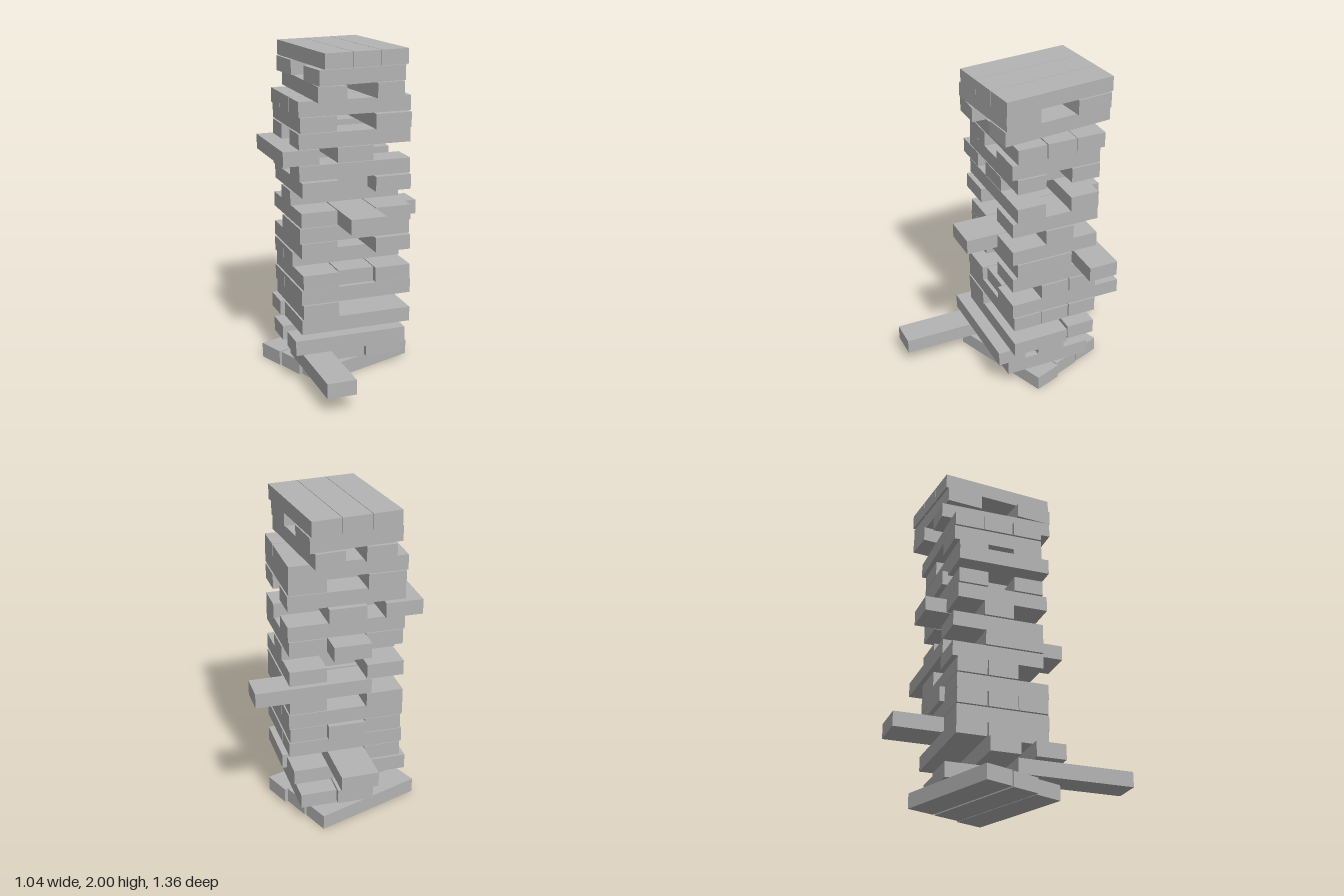
import * as THREE from 'three';

const LAYERS = 21;
const H = 0.092;                      // block height
const PITCH = (2 - H) / (LAYERS - 1); // layer spacing

// Block footprints [x size, z size]
const ALONG_X = [0.704, 0.18];
const ALONG_Z = [0.225, 0.556];
const SLIM_Z = [0.178, 0.704];
const WIDE_X = [0.557, 0.224];

// Usual positions in the middle of the tower
const XC = -0.035;                    // centre of crosswise blocks
const COLS = [-0.265, -0.033, 0.198]; // columns of lengthwise blocks
const ZC = -0.098, ZB = -0.127;       // lengthwise centre, and pushed slightly back

// Crosswise rows at the given z centres
const rows = (...zs) => zs.map((z) => [ALONG_X, XC, z]);
// Lengthwise columns with a z centre each; null leaves a gap
const cols = (...zs) => zs.map((z, i) => (z === null ? null : [ALONG_Z, COLS[i], z])).filter(Boolean);

// Each block: [footprint, x, z, turn]
const layers = [
  // twisted base
  [[ALONG_X, -0.005, 0.063, 0.355], [ALONG_X, -0.088, -0.104, 0.355], [ALONG_X, -0.161, -0.285, 0.355]],
  // one block pulled far out to the front
  [[SLIM_Z, -0.316, 0.33], [ALONG_Z, -0.098, -0.108], [ALONG_Z, 0.134, -0.094]],
  [[ALONG_X, -0.1, 0.159], [ALONG_X, -0.1, -0.112]],
  [[ALONG_X, XC, 0.081], [ALONG_X, XC, -0.099], [ALONG_X, -0.059, -0.297]],
  cols(ZC, -0.399, null),
  rows(0.083, -0.1, -0.287),
  cols(ZC, ZB, ZC),
  rows(-0.1, -0.287),
  cols(ZB, null, ZC),
  [...rows(0.06, -0.117), [ALONG_X, 0.17, -0.314]],
  cols(ZB, 0.096, ZC),
  rows(-0.125),
  cols(ZC, -0.228, ZC),
  rows(0.061, -0.285),
  [[ALONG_Z, -0.373, ZB], [ALONG_Z, COLS[1], ZB]],
  rows(0.059, -0.285),
  cols(ZB, null, ZC),
  rows(0.058, -0.129, -0.312),
  // loosely turned top
  [[SLIM_Z, -0.208, -0.11], [SLIM_Z, 0.133, -0.142, 0.1]],
  [[WIDE_X, -0.024, 0.11, 0.1], [WIDE_X, -0.05, -0.352, 0.1]],
  [-1, 0, 1].map((k) => [SLIM_Z, -0.025 + k * 0.18, -0.125 - k * 0.018, 0.1]),
];

export function createModel() {
  const model = new THREE.Group();
  model.name = 'blockTower';
  const grey = new THREE.MeshStandardMaterial({ color: 0xb4b4b4 });
  grey.name = 'blockGrey';

  layers.forEach((blocks, i) => {
    const layer = new THREE.Group();
    layer.name = `layer${i + 1}`;
    layer.position.y = H / 2 + i * PITCH;
    blocks.forEach(([[w, d], x, z, turn = 0], j) => {
      const block = new THREE.Mesh(new THREE.BoxGeometry(w, H, d), grey);
      block.name = `block${j + 1}`;
      block.position.set(x, 0, z);
      block.rotation.y = turn;
      layer.add(block);
    });
    model.add(layer);
  });
  return model;
}
